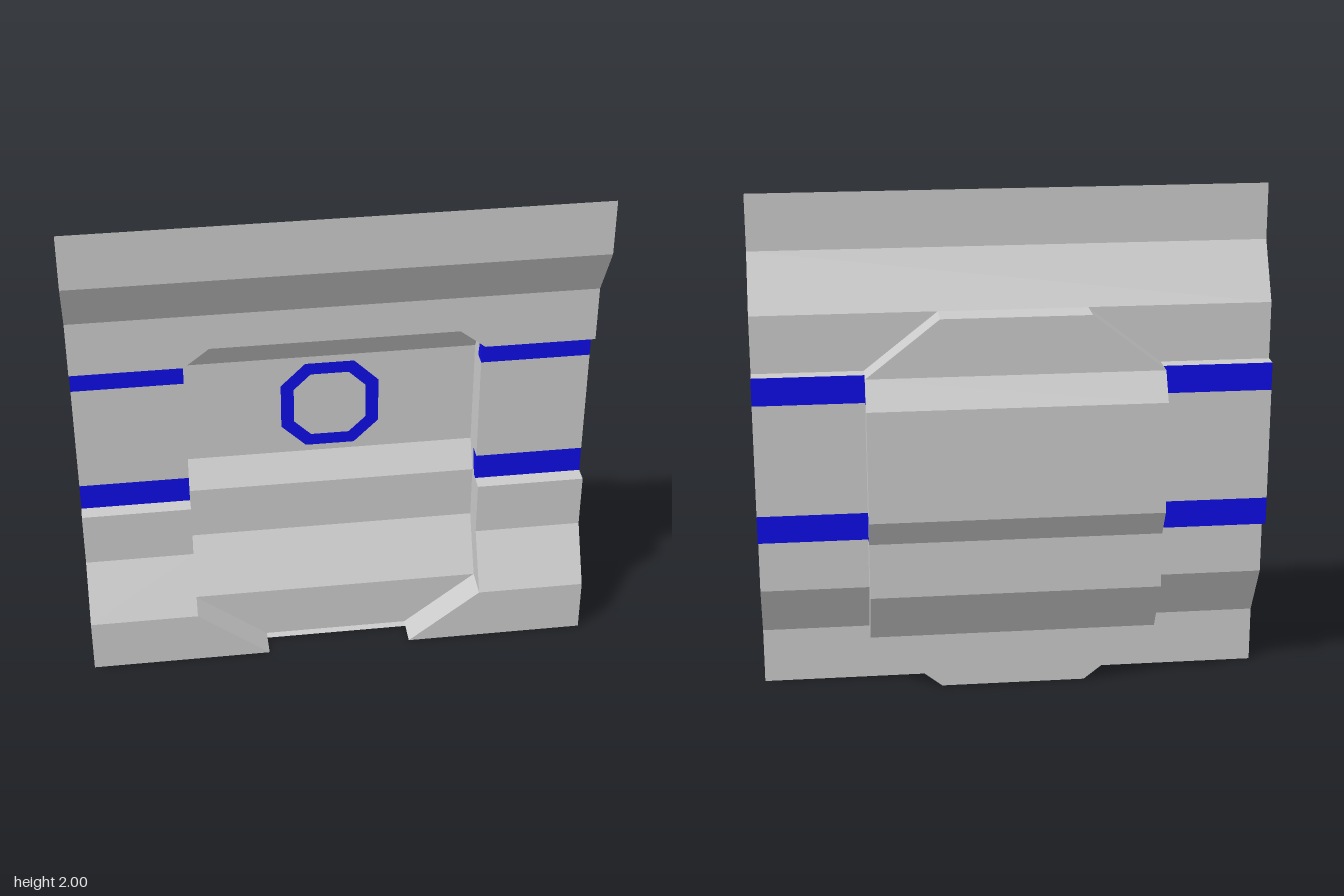
import * as THREE from 'three';

const material = (color) => new THREE.MeshStandardMaterial({ color, flatShading: true, side: THREE.DoubleSide });
const grey = material(0xcccccc);
const blue = material(0x0d0de6);

// Cross-sections as [y, z], and half width of the octagonal recess as [y, x]
const panelProfile = [[0, 0.155], [0.225, 0.155], [0.445, 0.03], [0.67, 0.03], [0.67, -0.03], [0.78, -0.03],
  [1.225, -0.03], [1.335, -0.03], [1.335, 0.03], [1.56, 0.03], [1.78, 0.155], [2, 0.155]];
const recessProfile = [[0, 0.035], [0.225, 0.035], [0.445, -0.09], [0.67, -0.09], [0.78, -0.155],
  [1.225, -0.155], [1.335, -0.09], [1.56, -0.09]];
const outline = [[0, 0.288], [0.225, 0.573], [1.335, 0.573], [1.56, 0.288]];

function lookup(table, y) {
  for (let i = 1; i < table.length; i++) {
    const [y0, v0] = table[i - 1], [y1, v1] = table[i];
    if (y <= y1 && y1 > y0) return v0 + (v1 - v0) * (y - y0) / (y1 - y0);
  }
  return table[table.length - 1][1];
}
const halfWidth = (y) => lookup(outline, y);
const isBand = (a, b) => (a === 0.67 && b === 0.78) || (a === 1.225 && b === 1.335);

// Corners of each quad run counter-clockwise seen from the front
function quadMesh(name, quads, mat) {
  const points = [];
  for (const [a, b, c, d] of quads) points.push(...a, ...b, ...c, ...a, ...c, ...d);
  const geometry = new THREE.BufferGeometry();
  geometry.setAttribute('position', new THREE.Float32BufferAttribute(points, 3));
  geometry.computeVertexNormals();
  const mesh = new THREE.Mesh(geometry, mat);
  mesh.name = name;
  return mesh;
}

const mirrorQuad = (q) => q.map(([x, y, z]) => [-x, y, z]).reverse();
const mirrored = (quads) => quads.flatMap((q) => [q, mirrorQuad(q)]);

function octagon(Type, half, cut) {
  const corners = [[half, cut], [cut, half], [-cut, half], [-half, cut],
    [-half, -cut], [-cut, -half], [cut, -half], [half, -cut]];
  return new Type(corners.map(([x, y]) => new THREE.Vector2(x, y)));
}

export function createModel() {
  const group = new THREE.Group();

  // Folded outer panel, cut away around the recess
  const sides = [], bands = [], top = [];
  for (let i = 1; i < panelProfile.length; i++) {
    const [y0, z0] = panelProfile[i - 1], [y1, z1] = panelProfile[i];
    if (y0 >= 1.56) {
      top.push([[-1, y0, z0], [1, y0, z0], [1, y1, z1], [-1, y1, z1]]);
    } else {
      const quad = [[halfWidth(y0), y0, z0], [1, y0, z0], [1, y1, z1], [halfWidth(y1), y1, z1]];
      (isBand(y0, y1) ? bands : sides).push(quad);
    }
  }
  group.add(quadMesh('sidePanels', mirrored(sides), grey));
  group.add(quadMesh('topPanel', top, grey));
  group.add(quadMesh('sideBands', mirrored(bands), blue));

  // Recessed plate and the walls that join it to the panel
  const plate = [], walls = [], wallBands = [];
  for (let i = 1; i < recessProfile.length; i++) {
    const [y0, z0] = recessProfile[i - 1], [y1, z1] = recessProfile[i];
    const w0 = halfWidth(y0), w1 = halfWidth(y1);
    plate.push([[-w0, y0, z0], [w0, y0, z0], [w1, y1, z1], [-w1, y1, z1]]);

    const inner = y0 >= 0.67 && y1 <= 1.335;
    const f0 = inner ? -0.03 : lookup(panelProfile, y0);
    const f1 = inner ? -0.03 : y1 === 1.56 ? 0.03 : lookup(panelProfile, y1);
    const g0 = y0 === 1.335 ? 0.03 : f0;
    let m0 = g0, m1 = f1;
    if (isBand(y0, y1)) {
      // Blue bands wrap part of the way along the wall
      m0 = z0 < z1 ? -0.09 : -0.06;
      m1 = z0 < z1 ? -0.06 : -0.09;
      wallBands.push([[w0, y0, m0], [w0, y0, g0], [w1, y1, f1], [w1, y1, m1]].reverse());
    }
    walls.push([[w0, y0, z0], [w0, y0, m0], [w1, y1, m1], [w1, y1, z1]].reverse());
  }
  group.add(quadMesh('recessPlate', plate, grey));
  group.add(quadMesh('recessWalls', mirrored(walls), grey));
  group.add(quadMesh('wallBands', mirrored(wallBands), blue));

  // Flat top of the recess and narrow lip at its foot
  const w = halfWidth(0);
  group.add(quadMesh('recessTop', [[[-w, 1.56, -0.09], [w, 1.56, -0.09], [w, 1.56, 0.03], [-w, 1.56, 0.03]]], grey));
  group.add(quadMesh('recessLip', [[[-w, 0, 0.065], [w, 0, 0.065], [w, 0, 0.035], [-w, 0, 0.035]]], grey));

  // Eight-sided ring on the plate
  const ringShape = octagon(THREE.Shape, 0.193, 0.096);
  ringShape.holes.push(octagon(THREE.Path, 0.142, 0.075));
  const ring = new THREE.Mesh(new THREE.ShapeGeometry(ringShape), blue);
  ring.name = 'ring';
  ring.position.set(0, 1.002, -0.152);
  group.add(ring);

  return group;
}
